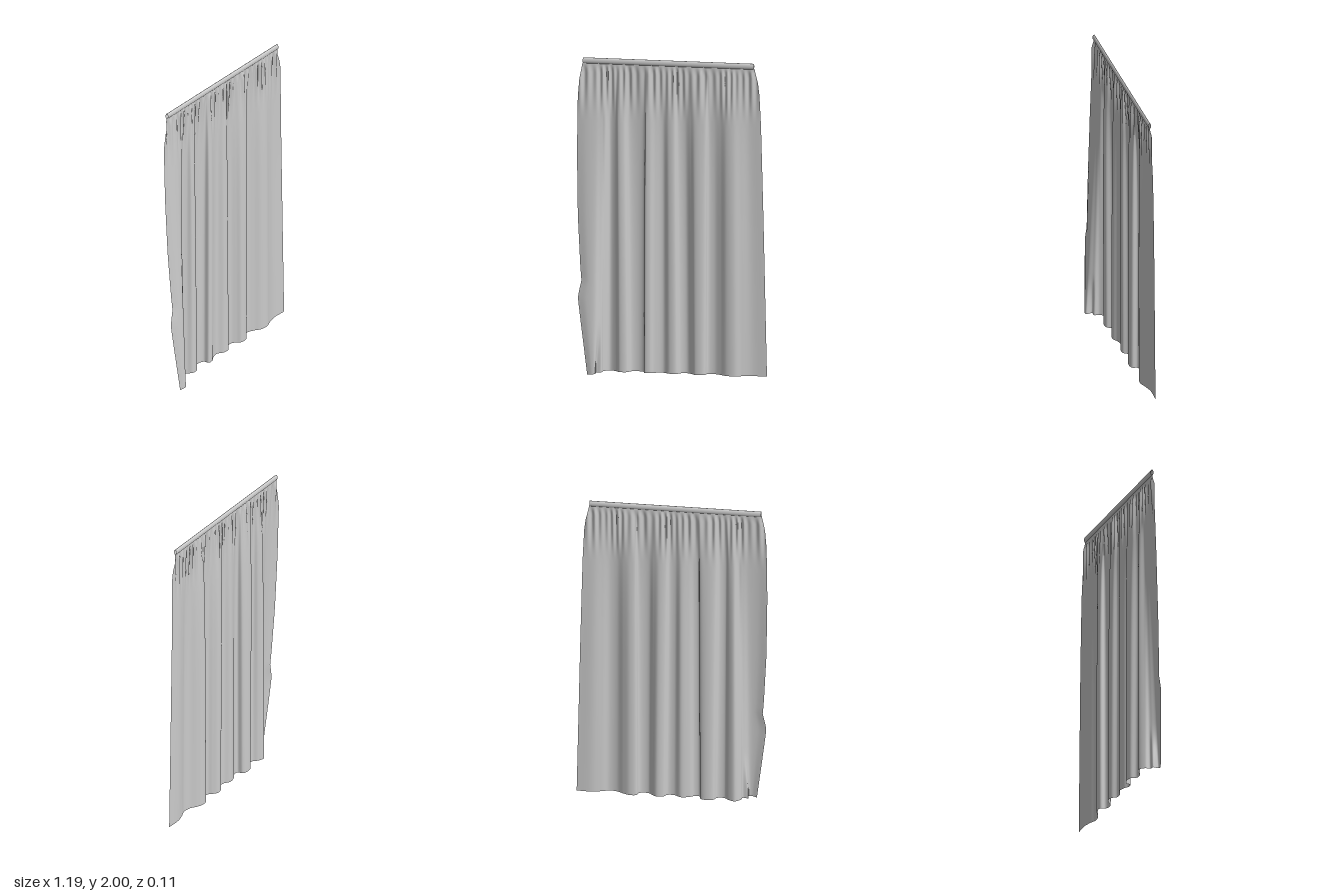
import * as THREE from 'three';

const ROD_Z = -0.03;
const TOP = 1.968;

// [height, x] outlines of the two free edges of the cloth
const RIGHT_EDGE = [[0, -0.525], [0.15, -0.545], [0.3, -0.565], [0.48, -0.588], [0.53, -0.58], [0.59, -0.566],
  [0.68, -0.574], [1.0, -0.592], [1.4, -0.6], [1.75, -0.597], [1.86, -0.587], [1.92, -0.576], [2, -0.562]];
const LEFT_EDGE = [[0, 0.595], [1.0, 0.573], [1.6, 0.558], [1.8, 0.549], [1.87, 0.54], [1.93, 0.525], [2, 0.512]];

// Fold lines across the cloth: [x at top, x at hem, z at hem]
const FOLDS = [
  [-0.42, -0.435, -0.022], [-0.395, -0.4, -0.052], [-0.36, -0.36, -0.038], [-0.345, -0.33, -0.013],
  [-0.31, -0.285, -0.017], [-0.28, -0.262, -0.05], [-0.22, -0.215, -0.058], [-0.178, -0.183, -0.045],
  [-0.168, -0.174, -0.014], [-0.14, -0.142, -0.012], [-0.105, -0.112, -0.03], [-0.06, -0.06, -0.042],
  [-0.025, -0.015, -0.018], [0.01, 0.025, -0.019], [0.03, 0.05, -0.046], [0.075, 0.09, -0.054],
  [0.11, 0.122, -0.034], [0.14, 0.145, -0.013], [0.185, 0.185, -0.011], [0.215, 0.206, -0.022],
  [0.225, 0.218, -0.052], [0.26, 0.26, -0.058], [0.3, 0.3, -0.042], [0.34, 0.345, -0.016],
  [0.385, 0.395, -0.011], [0.43, 0.44, -0.028], [0.475, 0.5, -0.043],
];

const { lerp, smoothstep } = THREE.MathUtils;

function sample(table, y) {
  const i = Math.max(1, table.findIndex((p) => p[0] >= y));
  const [a, b] = [table[i - 1], table[i]];
  return lerp(a[1], b[1], (y - a[0]) / (b[0] - a[0]));
}

// Horizontal cross-section of the cloth at one height
function section(y) {
  const w = 1 - y / TOP;
  const depth = 1 - Math.pow(y / TOP, 5);
  const tuck = 1 - smoothstep(y, 0, 0.32);
  const edge = sample(RIGHT_EDGE, y);
  const pts = [
    // front corner swinging forward, with a small tucked crease near the floor
    [edge, ROD_Z + 0.075 * Math.pow(w, 1.3)],
    [lerp(edge, -0.43, 0.35), ROD_Z + 0.085 * w],
    [-0.48 + 0.005 * w, ROD_Z + 0.08 * w],
    [-0.453 - 0.022 * tuck, ROD_Z + 0.055 * w - 0.012 * tuck],
    [-0.438 - 0.004 * w, ROD_Z + 0.04 * w],
    ...FOLDS.map(([xt, xh, z]) => [lerp(xt, xh, w), lerp(ROD_Z, z, depth)]),
    [sample(LEFT_EDGE, y), ROD_Z - 0.011 * depth],
  ];
  return new THREE.CatmullRomCurve3(pts.map(([x, z]) => new THREE.Vector3(x, y, z)), false, 'centripetal');
}

function clothGeometry(columns = 330, rows = 80) {
  const geo = new THREE.PlaneGeometry(1, 1, columns, rows);
  const pos = geo.attributes.position;
  for (let r = 0; r <= rows; r++) {
    const y = TOP * (1 - Math.pow(r / rows, 1.6));
    const curve = section(y);
    // fine gathers just under the rod, fading into the long folds
    const gather = smoothstep(TOP - y, 0, 0.06) * (1 - smoothstep(TOP - y, 0.06, 0.38));
    for (let c = 0; c <= columns; c++) {
      const p = curve.getPoint(c / columns);
      const ripple = Math.sin(p.x * 150 + 2 * Math.sin(p.x * 17)) * (0.7 + 0.3 * Math.sin(p.x * 41));
      const lift = 0.01 * Math.min(1, Math.max(0, (p.x + 0.525) / 0.09)) * (1 - y / TOP);
      pos.setXYZ(r * (columns + 1) + c, p.x, y + lift, p.z + 0.009 * ripple * gather);
    }
  }
  geo.computeVertexNormals();
  return geo;
}

export function createModel() {
  const group = new THREE.Group();
  const material = new THREE.MeshStandardMaterial({ color: 0xcccccc, side: THREE.DoubleSide });

  const cloth = new THREE.Mesh(clothGeometry(), material);
  cloth.name = 'curtainCloth';

  // Slightly flattened open tube carrying the cloth
  const tube = new THREE.CylinderGeometry(0.0185, 0.0185, 1.08, 32, 1, true);
  tube.rotateZ(Math.PI / 2).scale(1, 1, 0.5);
  const rod = new THREE.Mesh(tube, material);
  rod.name = 'curtainRod';
  rod.position.set(-0.025, 1.9815, ROD_Z);

  group.add(cloth, rod);
  return group;
}
